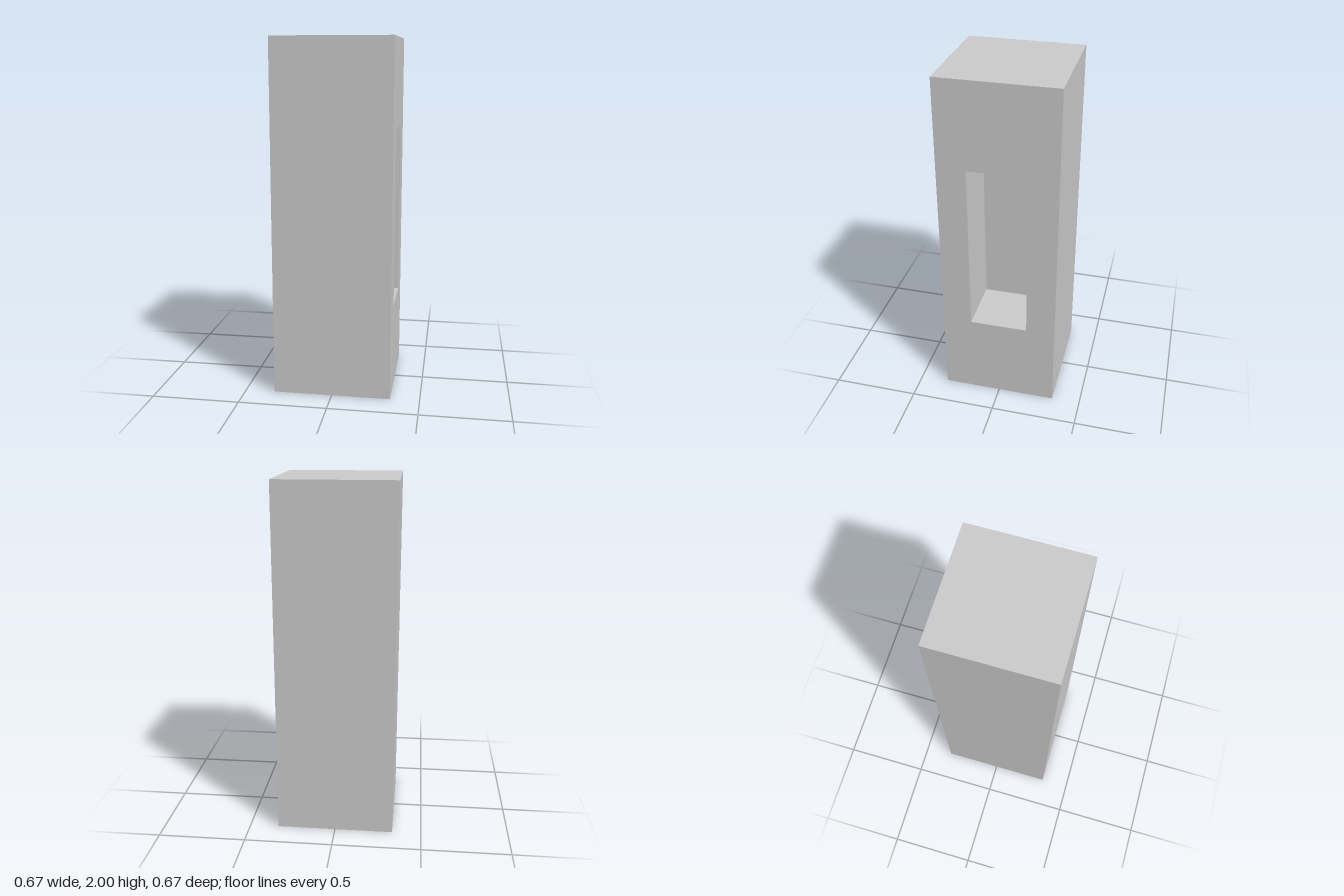
import * as THREE from 'three';
import { mergeGeometries } from 'three/addons/utils/BufferGeometryUtils.js';

const WIDTH = 0.667, HEIGHT = 2;
const POCKET = { width: 0.333, height: 1, depth: 0.333 };

// Box without its +x face; inward turns it into the lining of a cavity
function openBox(w, h, d, inward) {
  const geo = new THREE.BoxGeometry(w, h, d);
  const index = Array.from(geo.index.array).slice(6);
  geo.setIndex(inward ? index.reverse() : index);
  geo.clearGroups();
  geo.computeVertexNormals();
  return geo;
}

function rectangle(target, w, h) {
  target.moveTo(-w / 2, -h / 2);
  target.lineTo(w / 2, -h / 2);
  target.lineTo(w / 2, h / 2);
  target.lineTo(-w / 2, h / 2);
  target.closePath();
  return target;
}

export function createModel() {
  const group = new THREE.Group();
  group.name = 'pillar';
  const material = new THREE.MeshStandardMaterial({ color: 0xcccccc });

  // Outer walls, top and base
  const outer = openBox(WIDTH, HEIGHT, WIDTH, false);

  // Side face framing the opening
  const frame = rectangle(new THREE.Shape(), WIDTH, HEIGHT);
  frame.holes.push(rectangle(new THREE.Path(), POCKET.width, POCKET.height));
  const face = new THREE.ShapeGeometry(frame).rotateY(Math.PI / 2).translate(WIDTH / 2, 0, 0);

  // Lining of the recess
  const lining = openBox(POCKET.depth, POCKET.height, POCKET.width, true)
    .translate(WIDTH / 2 - POCKET.depth / 2, 0, 0);

  const body = new THREE.Mesh(mergeGeometries([outer, face]), material);
  body.name = 'body';
  const recess = new THREE.Mesh(lining, material);
  recess.name = 'recess';
  for (const mesh of [body, recess]) {
    mesh.position.y = HEIGHT / 2;
    group.add(mesh);
  }
  return group;
}
